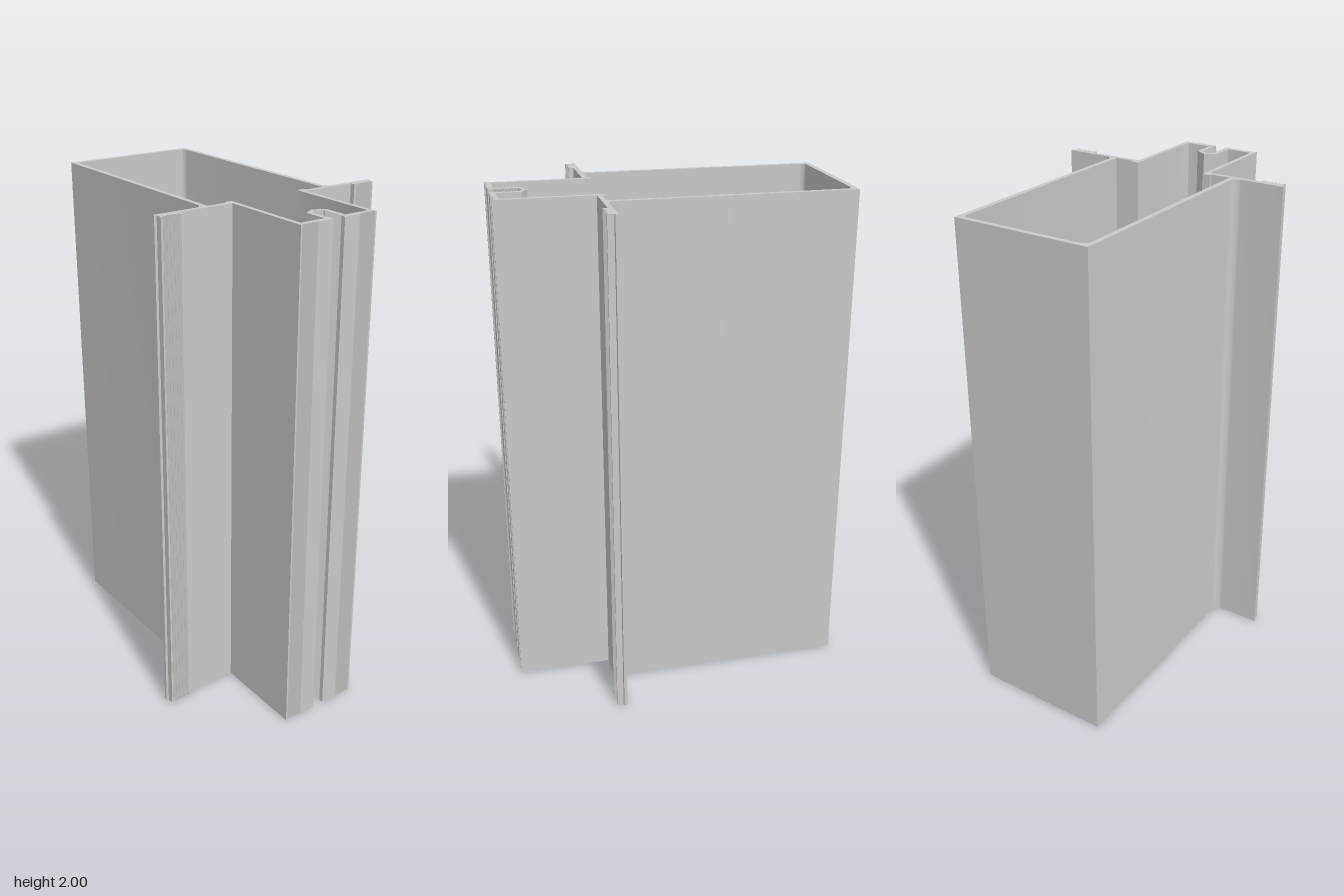
import * as THREE from 'three';
import { toCreasedNormals } from 'three/addons/utils/BufferGeometryUtils.js';

const HEIGHT = 2;

// Quarter-round points about (cx, cz), from angle a0 to a1 in degrees
function arc(cx, cz, r, a0, a1, n = 8) {
  return Array.from({ length: n + 1 }, (_, i) => {
    const a = THREE.MathUtils.degToRad(a0 + ((a1 - a0) * i) / n);
    return [cx + r * Math.cos(a), cz + r * Math.sin(a)];
  });
}

// Zigzag of n grooves from point a to point b, cut by the offset (dx, dz)
function grooves(a, b, n, dx, dz) {
  const points = [];
  for (let i = 0; i <= 2 * n; i++) {
    const t = i / (2 * n);
    const cut = i % 2;
    points.push([a[0] + (b[0] - a[0]) * t + dx * cut, a[1] + (b[1] - a[1]) * t + dz * cut]);
  }
  return points;
}

// Mirrors a half contour (x >= 0, first and last points on x = 0) into a closed loop
function mirrored(half) {
  const other = half.slice(1, -1).reverse().map(([x, z]) => [-x, z]);
  return [...half, ...other].map(([x, z]) => new THREE.Vector2(x, -z));
}

export function createModel() {
  const group = new THREE.Group();
  const aluminium = new THREE.MeshStandardMaterial({ color: 0xc9c9c9 });
  aluminium.name = 'aluminium grey';

  // Outside: rear box, side flange with ribbed pad, front channel, ribbed slot
  const outer = mirrored([
    [0, -0.667], [0.278, -0.667],
    ...arc(0.31, 0.24, 0.032, 180, 90),
    [0.483, 0.272], [0.483, 0.284], [0.474, 0.286], [0.474, 0.311],
    ...grooves([0.466, 0.311], [0.392, 0.311], 5, 0, -0.01),
    [0.382, 0.311], [0.382, 0.291],
    [0.165, 0.291], [0.165, 0.665],
    ...grooves([0.158, 0.665], [0.092, 0.665], 5, 0, -0.01),
    [0.09, 0.663], [0.025, 0.663],
    ...grooves([0.025, 0.645], [0.025, 0.56], 8, 0.005, 0),
    [0.025, 0.553], [0, 0.539],
  ]);

  // Inside: hollow of the box opening through the lips into the channel,
  // wound against the outside so that its walls face inwards
  const inner = mirrored([
    [0, -0.647],
    ...arc(0.234, -0.623, 0.024, -90, 0),
    [0.258, 0.272], [0.18, 0.272], [0.18, 0.26], [0.147, 0.26],
    ...arc(0.139, 0.632, 0.008, 0, 90, 3),
    [0.045, 0.64], [0.045, 0.547], [0, 0.521],
  ]).reverse();

  const shape = new THREE.Shape(outer);
  shape.holes.push(new THREE.Path(inner));
  const extrusion = new THREE.ExtrudeGeometry(shape, { depth: HEIGHT, bevelEnabled: false });
  extrusion.rotateX(-Math.PI / 2);

  const profile = new THREE.Mesh(toCreasedNormals(extrusion, 0.4), aluminium);
  profile.name = 'extrudedFrameProfile';
  group.add(profile);
  return group;
}
